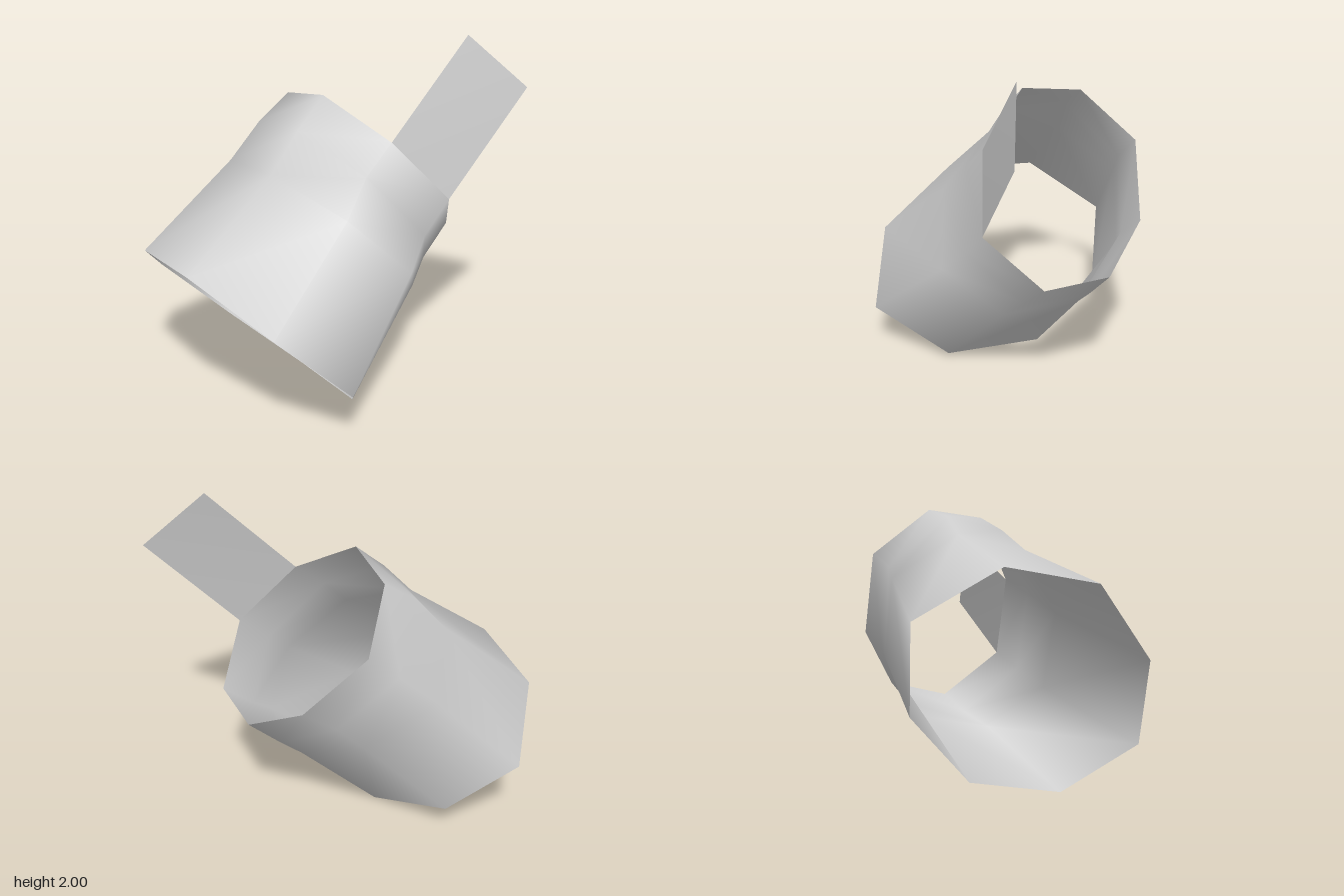
import * as THREE from 'three';

const grey = new THREE.MeshStandardMaterial({ color: 0xcccccc, side: THREE.DoubleSide });
grey.name = 'plain grey';

// Cross-sections of the tilted sleeve, from the wide mouth to the narrow collar
const rings = [
  [[-0.98, 0.87, 0.08], [-0.8, 0.64, 0.6], [-0.46, 0.3, 0.82], [-0.17, 0.03, 0.48],
    [-0.09, 0, -0.09], [-0.27, 0.2, -0.6], [-0.6, 0.54, -0.83], [-0.9, 0.82, -0.49]],
  [[-0.41, 1.31, 0.06], [-0.2, 1.11, 0.46], [0.12, 0.78, 0.63], [0.37, 0.55, 0.38],
    [0.4, 0.52, -0.08], [0.2, 0.72, -0.46], [-0.14, 1.02, -0.65], [-0.37, 1.28, -0.38]],
  [[-0.22, 1.52, 0.05], [-0.02, 1.3, 0.4], [0.28, 0.94, 0.56], [0.51, 0.67, 0.32],
    [0.53, 0.64, -0.08], [0.34, 0.86, -0.4], [0.04, 1.19, -0.56], [-0.2, 1.49, -0.33]],
  [[-0.03, 1.69, 0.04], [0.17, 1.46, 0.39], [0.47, 1.11, 0.55], [0.7, 0.84, 0.31],
    [0.72, 0.83, -0.08], [0.54, 1.02, -0.39], [0.23, 1.36, -0.55], [0, 1.63, -0.32]],
];

// Joins successive cross-sections with quads; closed wraps each section around
function loft(name, sections, closed) {
  const n = sections[0].length;
  const index = [];
  for (let r = 0; r < sections.length - 1; r++) {
    for (let i = 0; i < (closed ? n : n - 1); i++) {
      const a = r * n + i;
      const b = r * n + ((i + 1) % n);
      index.push(a, b, b + n, a, b + n, a + n);
    }
  }
  const geometry = new THREE.BufferGeometry();
  geometry.setAttribute('position', new THREE.Float32BufferAttribute(sections.flat(2), 3));
  geometry.setIndex(index);
  geometry.computeVertexNormals();
  const mesh = new THREE.Mesh(geometry, grey);
  mesh.name = name;
  return mesh;
}

export function createModel() {
  const model = new THREE.Group();
  model.name = 'openSleeveWithTab';

  // Open-ended eight-sided sleeve
  model.add(loft('sleeve', rings, true));

  // Flat tab rising from one side of the collar
  const collar = rings[rings.length - 1];
  model.add(loft('tab', [[collar[1], collar[2]], [[0.67, 2, 0.45], [0.98, 1.69, 0.63]]], false));

  return model;
}
